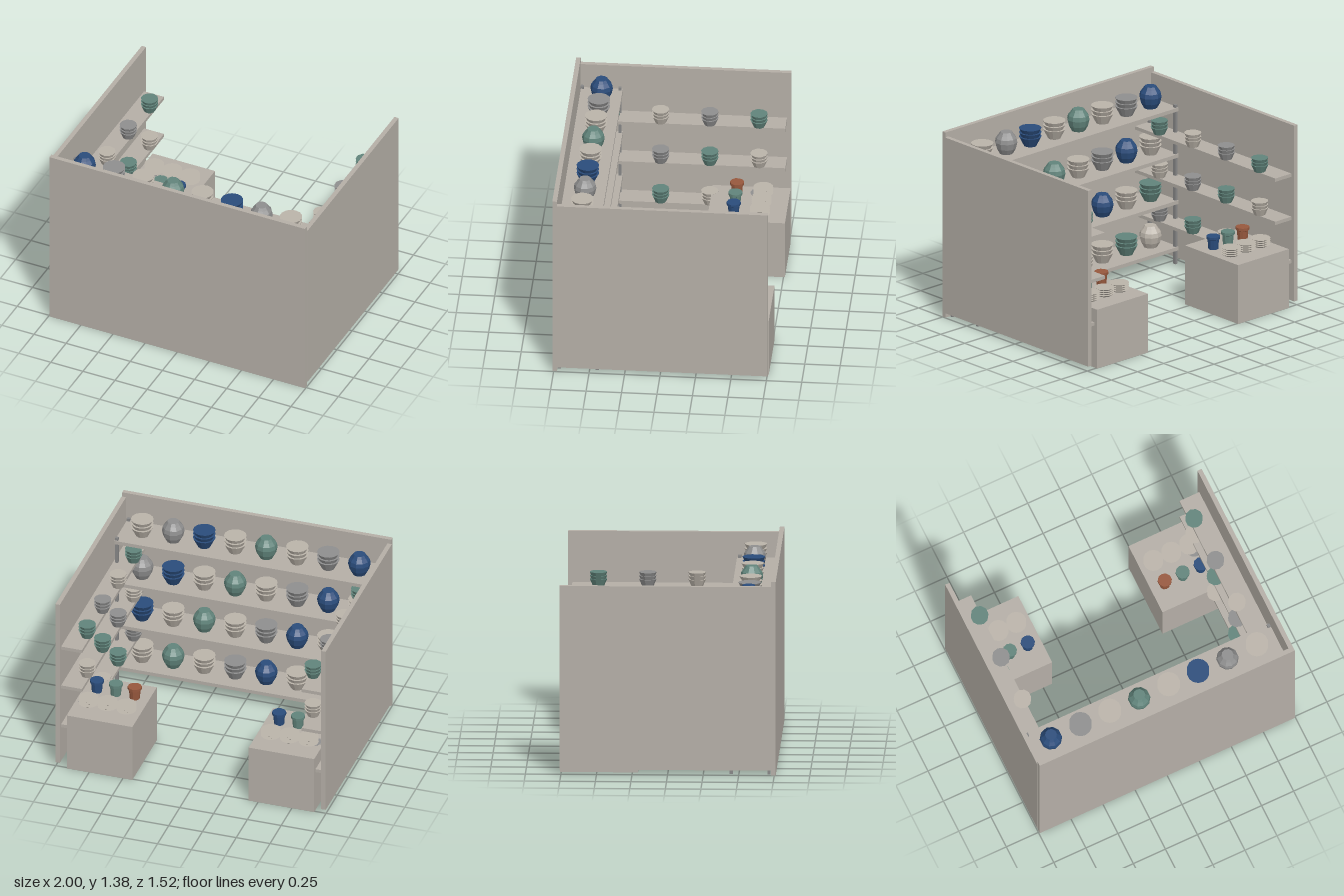
import * as THREE from 'three';

export function createModel() {
  const root = new THREE.Group();
  root.name = 'potteryStall';

  const mat = (name, color) => {
    const m = new THREE.MeshStandardMaterial({ color, flatShading: true });
    m.name = name;
    return m;
  };
  const board = mat('paleBoard', 0xb4aea6);
  const metal = mat('postGrey', 0x868686);
  const glaze = {
    cream: mat('creamGlaze', 0xbab3a9),
    grey: mat('greyGlaze', 0x8e8e8e),
    blue: mat('blueGlaze', 0x2a4c7b),
    green: mat('greenGlaze', 0x61847b),
    clay: mat('terracotta', 0x97583d),
  };

  // box given by its min and max on each axis
  const box = (name, x0, x1, y0, y1, z0, z1, m) => {
    const b = new THREE.Mesh(new THREE.BoxGeometry(x1 - x0, y1 - y0, z1 - z0), m);
    b.position.set((x0 + x1) / 2, (y0 + y1) / 2, (z0 + z1) / 2);
    b.name = name;
    root.add(b);
  };
  const lathe = (pts, sides) =>
    new THREE.LatheGeometry(pts.map(([r, y]) => new THREE.Vector2(r, y)), sides);

  // pile of solid flared dishes, each partly nested in the one below
  const stack = (name, count, rTop, rBase, h, step, x, y, z, m, sides) => {
    const g = new THREE.Group();
    g.name = name;
    const geo = new THREE.CylinderGeometry(rTop, rBase, h, sides);
    for (let k = 0; k < count; k++) {
      const d = new THREE.Mesh(geo, m);
      d.position.y = h / 2 + k * step;
      d.name = 'dish';
      g.add(d);
    }
    g.position.set(x, y, z);
    root.add(g);
  };
  const single = (name, geo, x, y, z, m) => {
    const p = new THREE.Mesh(geo, m);
    p.position.set(x, y, z);
    p.name = name;
    root.add(p);
  };

  // jar and cup profiles
  const jarGeo = lathe([[0, 0], [0.048, 0], [0.07, 0.04], [0.08, 0.085],
    [0.074, 0.115], [0.055, 0.14], [0.042, 0.16], [0, 0.16]], 10);
  const cupGeo = lathe([[0, 0], [0.036, 0], [0.041, 0.07], [0.05, 0.076],
    [0.05, 0.095], [0, 0.095]], 10);

  // walls
  box('frontWall', -0.995, 0.995, 0, 1.385, 0.727, 0.76, board);
  for (const s of [-1, 1]) {
    const [a, b] = s < 0 ? [-1, -0.967] : [0.967, 1];
    box('sideWall', a, b, 0.035, 1.35, -0.76, 0.727, board);
  }

  // long rack: shelves, posts, and alternating jars and bowl stacks
  const cycle = ['blue', 'grey', 'cream', 'green', 'cream'];
  const mod = (n, k) => ((n % k) + k) % k;
  for (let row = 0; row < 4; row++) {
    const y = 1.17 - row * 0.347;
    box('longShelf', -0.955, 0.955, y - 0.027, y, 0.427, 0.722, board);
    for (let i = 0; i < 8; i++) {
      const x = -0.813 + i * 0.2295;
      const n = i - row;
      const m = glaze[cycle[mod(n, 5)]];
      if (mod(n, 3) === 0) single('jar', jarGeo, x, y, 0.565, m);
      else stack('bowlStack', 3, 0.08, 0.045, 0.07, 0.031, x, y, 0.565, m, 14);
    }
  }
  for (const x of [-0.942, 0.942])
    for (const z of [0.446, 0.712])
      box('rackPost', x - 0.011, x + 0.011, 0, 1.19, z - 0.011, z + 0.011, metal);

  // side shelves with smaller bowl stacks
  const sideCycle = ['green', 'grey', 'cream'];
  for (const s of [-1, 1]) {
    for (let row = 0; row < 3; row++) {
      const y = 0.985 - row * 0.323;
      const [a, b] = s < 0 ? [-0.97, -0.813] : [0.813, 0.97];
      box('sideShelf', a, b, y - 0.025, y, -0.73, 0.725, board);
      for (let i = 0; i < 4; i++)
        stack('smallBowlStack', 3, 0.062, 0.04, 0.052, 0.025, s * 0.836, y,
          -0.543 + i * 0.347, glaze[sideCycle[mod(i - row, 3)]], 10);
    }
  }

  // display plinths with plates and cups
  const cups = ['clay', 'green', 'blue'];
  for (const s of [-1, 1]) {
    const [a, b] = s < 0 ? [-0.915, -0.43] : [0.43, 0.915];
    box('plinth', a, b, 0, 0.44, -0.76, -0.21, board);
    for (let i = 0; i < 3; i++) {
      const x = s * 0.674 + (i - 1) * 0.14;
      stack('plateStack', 4, 0.071, 0.045, 0.017, 0.015, x, 0.44, -0.575, glaze.cream, 14);
      single('cup', cupGeo, x, 0.44, -0.39, glaze[cups[i]]);
    }
  }
  return root;
}
